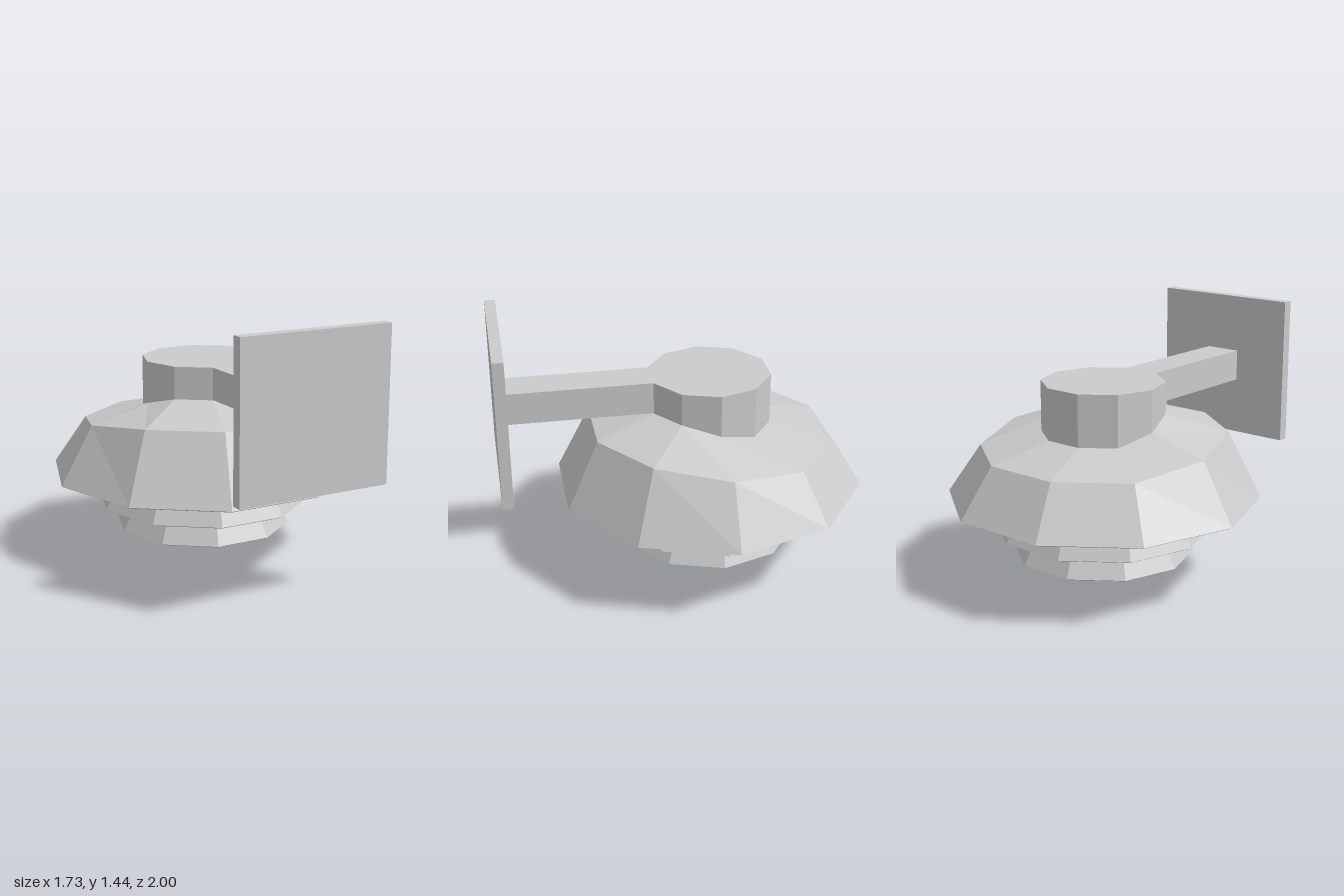
import * as THREE from 'three';

const SIDES = 10;
const LAMP_Z = -0.176;
const grey = new THREE.MeshStandardMaterial({ color: 0xcccccc, flatShading: true });
const smoothGrey = new THREE.MeshStandardMaterial({ color: 0xcccccc });

// Ten-sided turned part; profile points are [radius, height, rise towards the front].
function turned(name, profile) {
  const points = profile.map(([r, y]) => new THREE.Vector2(r, y));
  const geometry = new THREE.LatheGeometry(points, SIDES, Math.PI / 2);
  const pos = geometry.attributes.position;
  for (let i = 0; i < pos.count; i++) {
    const [r, y, rise = 0] = profile[i % profile.length];
    if (!rise) continue;
    const side = THREE.MathUtils.clamp(pos.getZ(i) / (r * Math.sin(Math.PI / 5)), -1, 1);
    pos.setY(i, y + rise * side);
  }
  geometry.computeVertexNormals();
  const mesh = new THREE.Mesh(geometry, grey);
  mesh.name = name;
  return mesh;
}

function box(name, w, h, d, x, y, z) {
  const mesh = new THREE.Mesh(new THREE.BoxGeometry(w, h, d), grey);
  mesh.position.set(x, y, z);
  mesh.name = name;
  return mesh;
}

// Inner tier: a hollow flared cup with a thick rim and a closed top.
function tier(name, rimR, rimY, topR, topY) {
  const wall = 0.05;
  return turned(name, [
    [0, topY - wall],
    [topR - wall, topY - wall],
    [rimR - wall, rimY - 0.005],
    [rimR - 0.015, rimY - 0.005],
    [rimR, rimY + 0.003],
    [topR, topY],
    [0, topY],
  ]);
}

export function createModel() {
  const model = new THREE.Group();
  model.name = 'wallLamp';

  // Wall plate and arm
  model.add(box('wallPlate', 0.86, 0.83, 0.06, 0, 1.027, 0.97));
  model.add(box('arm', 0.21, 0.178, 0.86, 0, 1.026, 0.51));

  const lamp = new THREE.Group();
  lamp.name = 'lamp';
  lamp.position.z = LAMP_Z;
  model.add(lamp);

  // Hub with a slanted underside that follows the shade
  lamp.add(turned('hub', [
    [0, 0.882], [0.34, 0.882, 0.053], [0.34, 1.115], [0, 1.115],
  ]));

  // Main shade with a slanted crown
  lamp.add(turned('mainShade', [
    [0, 0.82],
    [0.31, 0.82, 0.05],
    [0.63, 0.74, 0.05],
    [0.8, 0.465],
    [0.85, 0.465],
    [0.865, 0.473],
    [0.68, 0.794, 0.05],
    [0.34, 0.882, 0.053],
  ]));

  // Two smaller tiers below
  lamp.add(tier('middleTier', 0.606, 0.295, 0.46, 0.6));
  lamp.add(tier('lowerTier', 0.5, 0.15, 0.36, 0.43));

  // Stem linking the tiers, down to the bulb
  const stem = new THREE.Mesh(new THREE.CylinderGeometry(0.07, 0.07, 0.56, SIDES), grey);
  stem.position.y = 0.56;
  stem.name = 'stem';
  lamp.add(stem);

  // Bulb
  const bulb = new THREE.Mesh(new THREE.SphereGeometry(0.165, 8, 4), smoothGrey);
  bulb.position.y = 0.167;
  bulb.name = 'bulb';
  lamp.add(bulb);

  return model;
}
